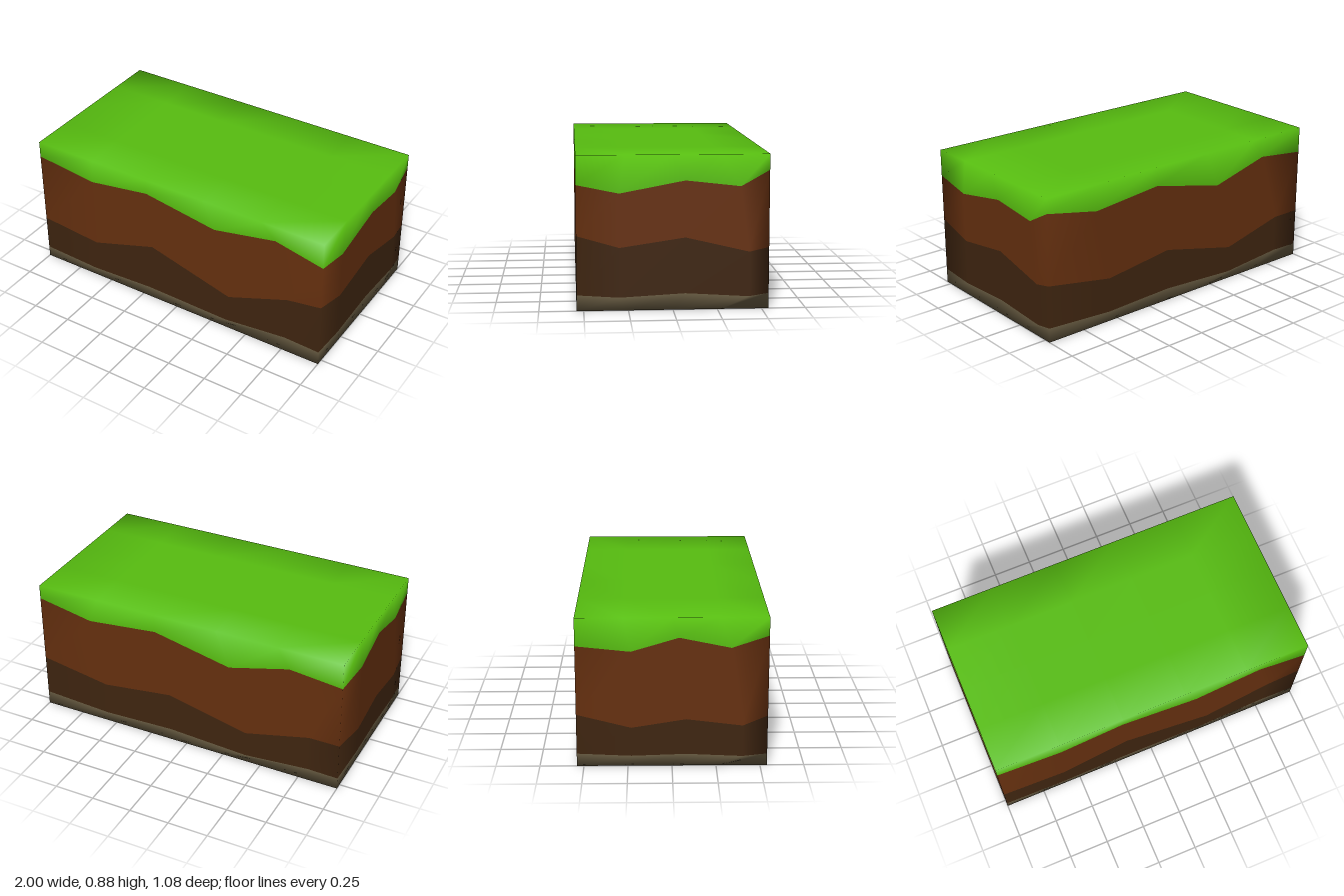
import * as THREE from 'three';

const W = 1, D = 0.54, H = 0.875;   // half width, half depth, height
const NX = 5, NZ = 4;               // cap divisions along x and z

// Layer boundaries on each side as [position along the side, height],
// running front, right, back, left; each side's last corner starts the next.
const GRASS_LINE = [
  [[-1, .77], [-.6, .72], [-.2, .78], [.28, .70], [.69, .78]],
  [[.54, .71], [.3, .66], [-.07, .73], [-.38, .695]],
  [[1, .785], [.65, .715], [.2, .76], [-.29, .65], [-.67, .75]],
  [[-.54, .713], [-.23, .68], [.04, .76], [.33, .70]],
];
const SOIL_LINE = [
  [[-1, .30], [-.6, .26], [-.17, .395], [.38, .24], [.78, .39]],
  [[.54, .425], [.3, .355], [-.07, .41], [-.43, .325]],
  [[1, .35], [.56, .273], [.11, .33], [-.4, .21], [-.81, .31]],
  [[-.54, .31], [-.23, .23], [.08, .28], [.4, .24]],
];
const STONE_LINE = [
  [[-1, .07], [-.62, .05], [-.2, .07], [.36, .055], [.77, .1]],
  [[.54, .09], [.3, .073], [-.07, .093], [-.43, .07]],
  [[1, .088], [.56, .06], [.11, .075], [-.4, .045], [-.81, .08]],
  [[-.54, .075], [-.23, .06], [.08, .07], [.4, .055]],
];

// A level ring with evenly spaced points on each side
function levelLine(y) {
  const side = (from, n) => Array.from({ length: n }, (_, i) => [from * (1 - 2 * i / n), y]);
  return [side(-W, NX), side(D, NZ), side(W, NX), side(-D, NZ)];
}

// Place each side's points on the outline of the block
function ringPoints(line) {
  const place = [
    (u, y) => [u, y, D], (u, y) => [W, y, u],
    (u, y) => [u, y, -D], (u, y) => [-W, y, u],
  ];
  return line.flatMap((side, s) => side.map(([u, y]) => place[s](u, y)));
}

export function createModel() {
  const N = 2 * (NX + NZ);
  const points = [levelLine(0), STONE_LINE, SOIL_LINE, GRASS_LINE, levelLine(H)].flatMap(ringPoints);

  const quad = (a, b, c, d) => [a, b, c, a, c, d];

  // Wall strip between ring r and the ring above it
  function wall(r) {
    const out = [];
    for (let i = 0; i < N; i++) {
      const a = r * N + i, b = r * N + (i + 1) % N;
      out.push(...quad(a, b, b + N, a + N));
    }
    return out;
  }

  // Flat grid that fills ring r, facing up or down
  function cap(r, y, up) {
    const inner = points.length;
    for (let j = 1; j < NZ; j++) {
      for (let i = 1; i < NX; i++) points.push([-W + 2 * W * i / NX, y, D - 2 * D * j / NZ]);
    }
    const at = (i, j) => {
      if (j === 0) return r * N + i;
      if (i === NX) return r * N + NX + j;
      if (j === NZ) return r * N + NX + NZ + (NX - i);
      if (i === 0) return r * N + 2 * NX + NZ + (NZ - j);
      return inner + (j - 1) * (NX - 1) + i - 1;
    };
    const out = [];
    for (let j = 0; j < NZ; j++) {
      for (let i = 0; i < NX; i++) {
        const c = [at(i, j), at(i + 1, j), at(i + 1, j + 1), at(i, j + 1)];
        out.push(...quad(...(up ? c : c.reverse())));
      }
    }
    return out;
  }

  const layers = [
    ['stoneLayer', 0x6a5d43, [...wall(0), ...cap(0, 0, false)]],
    ['darkSoilLayer', 0x3f2510, wall(1)],
    ['soilLayer', 0x66300f, wall(2)],
    ['grassLayer', 0x57bd10, [...wall(3), ...cap(4, H, true)]],
  ];

  // Smooth normals are shared by the whole block, then each layer is cut out
  const block = new THREE.BufferGeometry();
  block.setAttribute('position', new THREE.Float32BufferAttribute(points.flat(), 3));
  block.setIndex(layers.flatMap(([, , index]) => index));
  block.computeVertexNormals();

  const group = new THREE.Group();
  group.name = 'groundBlock';
  for (const [name, color, index] of layers) {
    const material = new THREE.MeshStandardMaterial({ color });
    material.name = name.replace('Layer', '');
    const geometry = block.clone().setIndex(index).toNonIndexed();
    const mesh = new THREE.Mesh(geometry, material);
    mesh.name = name;
    group.add(mesh);
  }
  return group;
}
